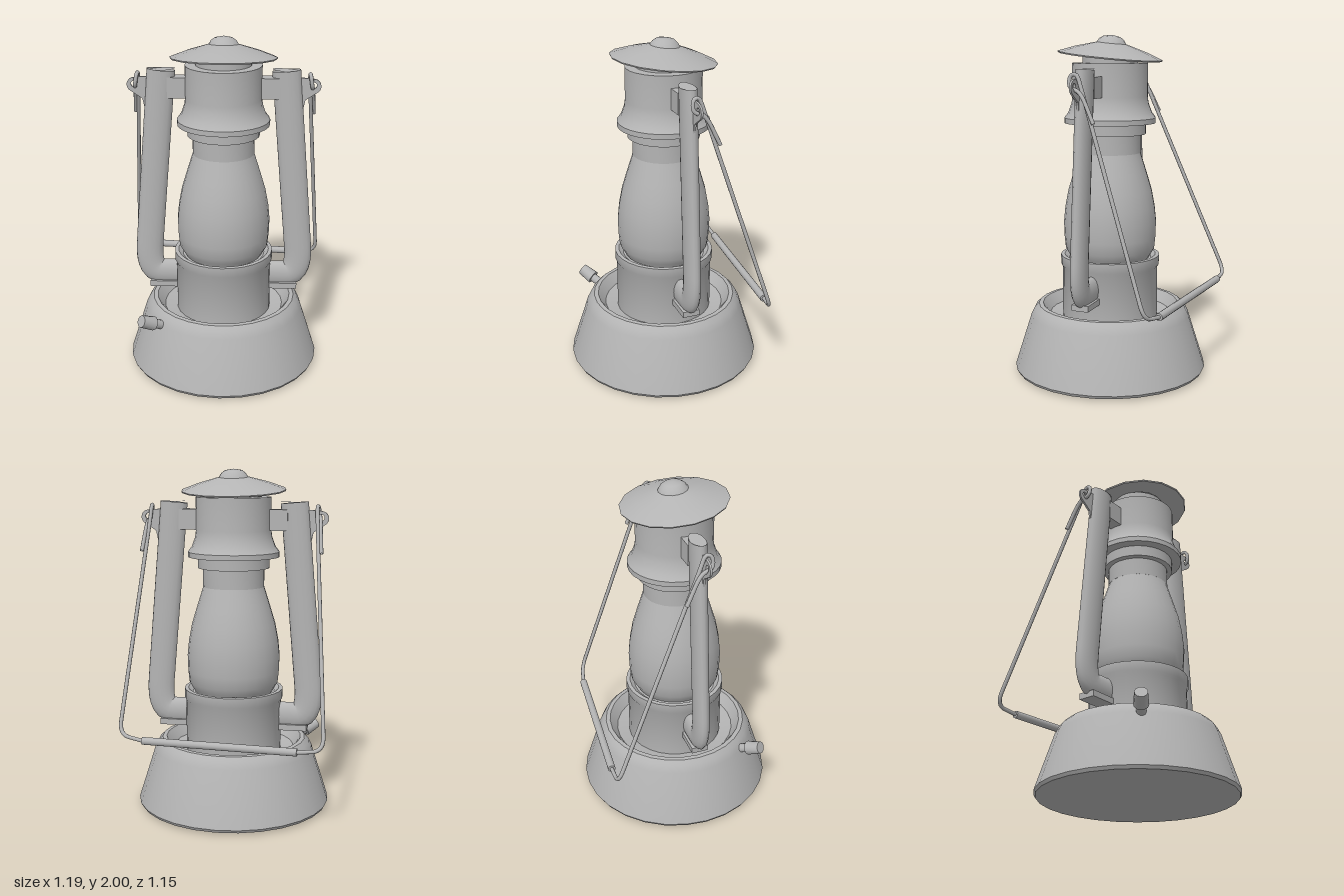
import * as THREE from 'three';
import { toCreasedNormals } from 'three/addons/utils/BufferGeometryUtils.js';

export function createModel() {
  const lantern = new THREE.Group();
  lantern.name = 'lantern';
  const grey = new THREE.MeshStandardMaterial({ color: 0xb4b4b4, side: THREE.DoubleSide });
  grey.name = 'grey metal';

  const V = (x, y, z) => new THREE.Vector3(x, y, z);
  const add = (name, geometry, parent = lantern) => {
    const mesh = new THREE.Mesh(geometry, grey);
    mesh.name = name;
    parent.add(mesh);
    return mesh;
  };
  const lathe = (name, profile, sides = 28) => add(name, toCreasedNormals(
    new THREE.LatheGeometry(profile.map(p => new THREE.Vector2(...p)), sides), 0.6));

  // Straight runs joined by rounded corners
  const roundedPath = (points, r) => {
    const path = new THREE.CurvePath();
    let from = points[0];
    for (let i = 1; i < points.length - 1; i++) {
      const p = points[i];
      const cut = q => p.clone().add(q.clone().sub(p).setLength(Math.min(r, p.distanceTo(q) * 0.45)));
      const a = cut(points[i - 1]), b = cut(points[i + 1]);
      path.add(new THREE.LineCurve3(from, a));
      path.add(new THREE.QuadraticBezierCurve3(a, p, b));
      from = b;
    }
    path.add(new THREE.LineCurve3(from, points[points.length - 1]));
    return path;
  };

  // Fuel tank with a sunken top
  lathe('fuelTank', [[0, 0], [0.565, 0.012], [0.575, 0.03], [0.475, 0.345], [0.455, 0.385],
    [0.43, 0.41], [0.405, 0.412], [0.385, 0.385], [0.36, 0.35], [0.28, 0.335]], 28);

  // Burner housing with a rolled lip
  lathe('burner', [[0.285, 0.33], [0.285, 0.64], [0.294, 0.655], [0.294, 0.71],
    [0.272, 0.712], [0.245, 0.69], [0.2, 0.69]]);

  // Glass globe
  lathe('globe', [[0.225, 0.68], [0.245, 0.715], [0.265, 0.75], [0.272, 0.82], [0.275, 0.91],
    [0.266, 1.0], [0.247, 1.1], [0.217, 1.2], [0.192, 1.28], [0.178, 1.325]]);

  // Chimney: collar, flared skirt, drum and neck
  lathe('chimneyCollar', [[0.15, 1.32], [0.18, 1.32], [0.18, 1.43]]);
  lathe('chimneyRing', [[0.16, 1.425], [0.21, 1.43], [0.21, 1.5]]);
  lathe('chimneyDrum', [[0.2, 1.495], [0.268, 1.495], [0.268, 1.525], [0.245, 1.555],
    [0.225, 1.61], [0.22, 1.65], [0.22, 1.84], [0.15, 1.84]]);
  lathe('chimneyNeck', [[0.16, 1.83], [0.16, 1.91]]);

  // Slightly tilted hood
  const hood = lathe('hood', [[0.15, 0.03], [0.302, -0.006], [0.306, 0.002], [0.21, 0.038],
    [0.12, 0.064], [0.085, 0.074], [0.072, 0.095], [0.05, 0.111], [0, 0.12]], 16);
  hood.position.y = 1.88;
  hood.rotation.x = -0.1;

  // Side air tubes, brackets and lugs
  const tubePath = roundedPath([V(0.355, 1.81, 0), V(0.463, 0.55, 0), V(0.27, 0.55, 0)], 0.19);
  const lugShape = new THREE.Shape();
  lugShape.moveTo(0.4, 1.77);
  lugShape.lineTo(0.5, 1.765);
  lugShape.absarc(0.51, 1.72, 0.042, Math.PI / 2, -Math.PI / 3, true);
  lugShape.lineTo(0.465, 1.64);
  lugShape.lineTo(0.45, 1.57);
  lugShape.lineTo(0.4, 1.57);
  const eye = new THREE.Path();
  eye.absarc(0.51, 1.725, 0.018, 0, Math.PI * 2);
  lugShape.holes.push(eye);

  for (const side of [1, -1]) {
    const frame = new THREE.Group();
    frame.name = side > 0 ? 'leftFrame' : 'rightFrame';
    lantern.add(frame);

    const tube = new THREE.TubeGeometry(tubePath, 56, 0.081, 16, false);
    tube.scale(side, 1, 0.54);
    add('airTube', tube, frame);
    const cap = add('airTubeTop', new THREE.CircleGeometry(0.081, 16), frame);
    cap.scale.y = 0.54;
    cap.rotation.set(-Math.PI / 2, side * 0.085, 0);
    cap.position.set(side * 0.355, 1.81, 0);

    add('topBracket', new THREE.BoxGeometry(0.13, 0.12, 0.08), frame).position.set(side * 0.255, 1.71, 0);
    add('bottomBracket', new THREE.BoxGeometry(0.165, 0.035, 0.1), frame).position.set(side * 0.363, 0.486, 0);

    const lug = new THREE.ExtrudeGeometry(lugShape, { depth: 0.012, bevelEnabled: false });
    lug.translate(0, 0, -0.006);
    if (side < 0) lug.rotateY(Math.PI);
    add('handleLug', lug, frame);
  }

  // Wire handle: each end hooks through its lug and leaves a short tail
  const handle = new THREE.Group();
  handle.name = 'handle';
  lantern.add(handle);
  const gripEnds = [V(0.44, 0.49, -0.468), V(-0.445, 0.495, -0.54)];
  const corners = [V(0.585, 0.51, -0.437), V(-0.59, 0.51, -0.545)];
  gripEnds.forEach((end, i) => {
    const s = i ? -1 : 1;
    const wire = roundedPath([
      end, corners[i], V(s * 0.49, 1.72, -0.035), V(s * 0.487, 1.795, -0.01),
      V(s * 0.492, 1.785, 0.03), V(s * 0.502, 1.715, 0.03),
      V(s * 0.508, 1.70, -0.04), V(s * 0.522, 1.53, -0.12)], 0.08);
    add('handleWire', new THREE.TubeGeometry(wire, 120, 0.0115, 8, false), handle);
  });
  const span = gripEnds[0].clone().sub(gripEnds[1]);
  const grip = add('handleGrip', new THREE.CylinderGeometry(0.022, 0.022, span.length(), 12), handle);
  grip.position.copy(gripEnds[0]).add(gripEnds[1]).multiplyScalar(0.5);
  grip.quaternion.setFromUnitVectors(V(0, 1, 0), span.normalize());

  // Filler spout and its cap
  const filler = new THREE.Group();
  filler.name = 'filler';
  lantern.add(filler);
  filler.position.set(-0.43, 0.385, 0.36);
  filler.quaternion.setFromUnitVectors(V(0, 1, 0), V(-0.72, 0.42, 0.56).normalize());
  add('fillerCap', toCreasedNormals(new THREE.CylinderGeometry(0.036, 0.042, 0.09, 12), 0.7), filler);
  add('fillerSpout', new THREE.CylinderGeometry(0.027, 0.027, 0.1, 12), filler).position.y = -0.08;

  return lantern;
}
